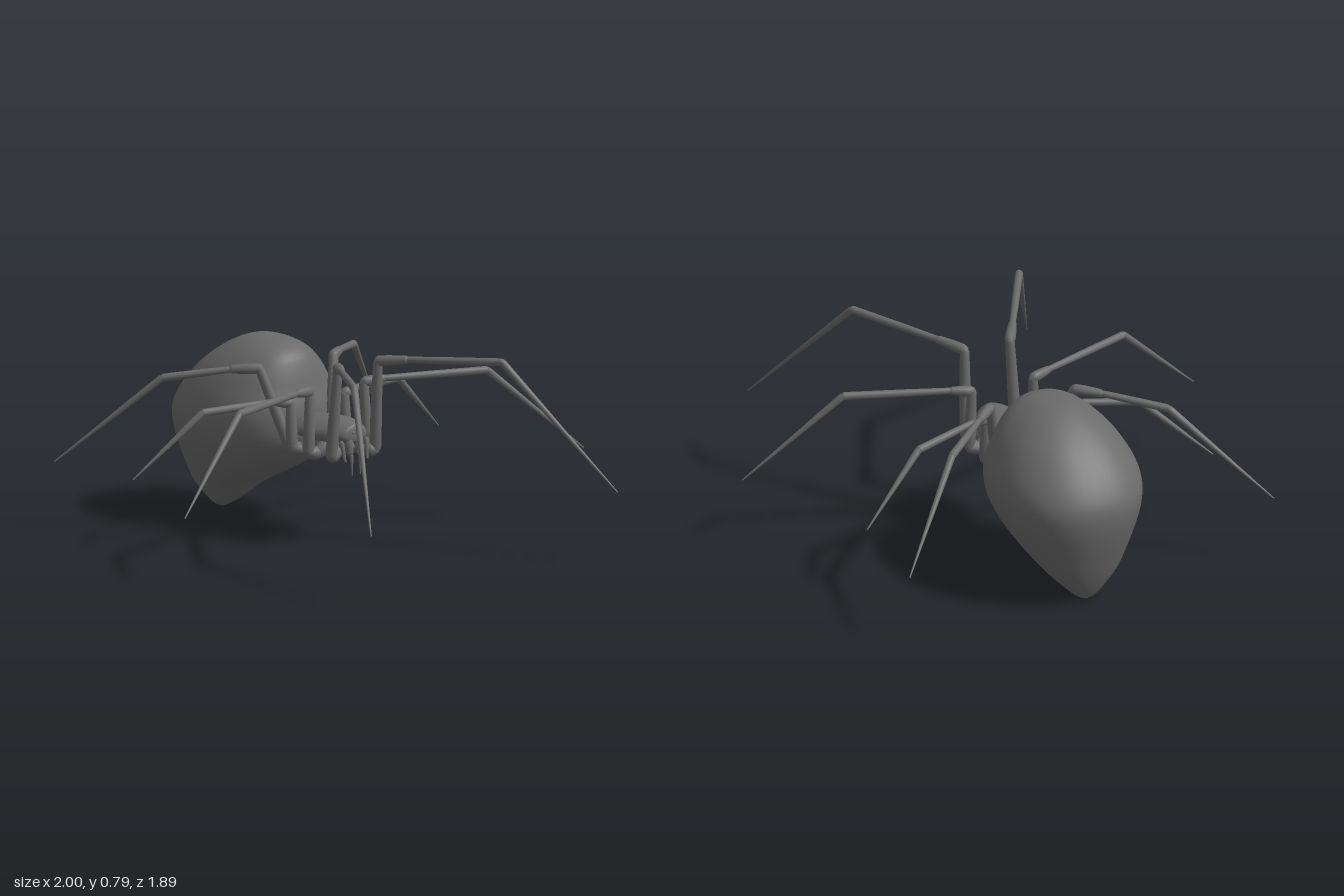
import * as THREE from 'three';

const V = (p) => new THREE.Vector3(...p);
const material = new THREE.MeshStandardMaterial({ color: 0x6a6a6a });

function add(parent, geometry, name) {
  const mesh = new THREE.Mesh(geometry, material);
  mesh.name = name;
  parent.add(mesh);
  return mesh;
}

// Smooth closed skin: rows of four numbers are splined, place(row, cos, sin) gives each point
function loft(rows, place, steps, sides) {
  const curve = new THREE.CatmullRomCurve3(rows.map((r) => V(r.slice(0, 3))), false, 'catmullrom');
  const last = new THREE.CatmullRomCurve3(rows.map((r) => V([r[3], 0, 0])), false, 'catmullrom');
  const pos = [], index = [];
  for (let i = 0; i <= steps; i++) {
    const p = curve.getPoint(i / steps);
    const row = [p.x, p.y, p.z, last.getPoint(i / steps).x];
    for (let j = 0; j < sides; j++) {
      const a = (j / sides) * Math.PI * 2;
      pos.push(...place(row, Math.cos(a), Math.sin(a)));
    }
  }
  const start = pos.length / 3, end = start + 1, top = steps * sides;
  for (const base of [0, top]) {
    const c = [0, 0, 0];
    for (let j = 0; j < sides; j++) for (let k = 0; k < 3; k++) c[k] += pos[(base + j) * 3 + k] / sides;
    pos.push(...c);
  }
  for (let j = 0; j < sides; j++) {
    const n = (j + 1) % sides;
    for (let i = 0; i < steps; i++) {
      const a = i * sides + j, b = i * sides + n;
      index.push(a, a + sides, b, b, a + sides, b + sides);
    }
    index.push(start, j, n, end, top + n, top + j);
  }
  const g = new THREE.BufferGeometry();
  g.setAttribute('position', new THREE.Float32BufferAttribute(pos, 3));
  g.setIndex(index);
  g.computeVertexNormals();
  return g;
}

// Tapered, slightly swollen limb piece with rounded ends
function segment(parent, name, from, to, r0, r1) {
  const a = V(from), d = V(to).sub(a), L = d.length();
  const profile = [[0, -r0 * 0.7], [r0 * 0.7, -r0 * 0.4], [r0, r0 * 0.3], [(r0 * 0.6 + r1 * 0.4) * 1.06, L * 0.4],
    [r1, L - r1 * 0.3], [r1 * 0.7, L + r1 * 0.4], [0, L + r1 * 0.7]];
  const mesh = add(parent, new THREE.LatheGeometry(profile.map((p) => new THREE.Vector2(...p)), 12), name);
  mesh.position.copy(a);
  mesh.quaternion.setFromUnitVectors(new THREE.Vector3(0, 1, 0), d.normalize());
}

function ball(parent, name, [x, y, z], [rx, ry, rz]) {
  const mesh = add(parent, new THREE.SphereGeometry(1, 20, 14), name);
  mesh.position.set(x, y, z);
  mesh.scale.set(rx, ry, rz);
}

// Joints of each left leg: hip, trochanter, femur base, femur top, patella end, tibia end, tip
const LEGS = {
  frontLeg: [[0.05, 0.4, -0.01], [0.08, 0.37, 0.02], [0.11, 0.37, 0.035], [0.1, 0.735, 0.065], [0.165, 0.75, 0.17], [0.37, 0.775, 0.52], [0.617, 0.29, 0.945]],
  secondLeg: [[0.05, 0.4, -0.06], [0.1, 0.365, -0.065], [0.145, 0.375, -0.065], [0.135, 0.62, -0.07], [0.215, 0.628, -0.045], [0.62, 0.63, 0.1], [0.998, 0.285, 0.235]],
  thirdLeg: [[0.05, 0.4, -0.14], [0.1, 0.365, -0.165], [0.135, 0.37, -0.185], [0.135, 0.55, -0.195], [0.2, 0.56, -0.215], [0.49, 0.54, -0.305], [0.765, 0.29, -0.4]],
  backLeg: [[0.05, 0.4, -0.19], [0.08, 0.37, -0.225], [0.11, 0.38, -0.245], [0.185, 0.672, -0.33], [0.27, 0.667, -0.405], [0.48, 0.63, -0.58], [0.805, 0.285, -0.855]],
};
const PARTS = [['coxa', 0.03, 0.028], ['trochanter', 0.027, 0.026], ['femur', 0.024, 0.019],
  ['patella', 0.022, 0.017], ['tibia', 0.013, 0.016], ['tarsus', 0.015, 0.003]];

export function createModel() {
  const model = new THREE.Group();
  model.name = 'spider';

  // Abdomen: height, front z, back z, half width
  const abdomenRows = [
    [0.003, -0.797, -0.815, 0.01], [0.02, -0.765, -0.832, 0.045], [0.07, -0.695, -0.86, 0.1],
    [0.13, -0.61, -0.885, 0.155], [0.2, -0.465, -0.908, 0.205], [0.27, -0.35, -0.928, 0.246],
    [0.35, -0.277, -0.944, 0.28], [0.43, -0.26, -0.942, 0.295], [0.5, -0.265, -0.909, 0.287],
    [0.57, -0.285, -0.855, 0.256], [0.64, -0.305, -0.785, 0.21], [0.7, -0.335, -0.7, 0.148],
    [0.738, -0.4, -0.62, 0.082], [0.75, -0.49, -0.56, 0.03]];
  const round = (v) => Math.sign(v) * Math.abs(v) ** 0.88;
  add(model, loft(abdomenRows, ([y, f, b, w], c, s) =>
    [w * round(c), y, (f + b) / 2 + ((f - b) / 2) * round(s)], 52, 48), 'abdomen');

  // Carapace: z from head to waist, centre height, half width, half height
  const carapaceRows = [
    [0.055, 0.452, 0.03, 0.02], [0.045, 0.452, 0.058, 0.038], [0.0, 0.452, 0.085, 0.048],
    [-0.06, 0.45, 0.106, 0.052], [-0.13, 0.447, 0.115, 0.05], [-0.2, 0.442, 0.106, 0.047],
    [-0.245, 0.438, 0.085, 0.038], [-0.262, 0.435, 0.05, 0.02]];
  add(model, loft(carapaceRows, ([z, y, w, h], c, s) => [w * c * (1 - 0.2 * s), y + h * s, z], 28, 28), 'carapace');
  ball(model, 'sternum', [0, 0.395, -0.1], [0.08, 0.04, 0.14]);
  ball(model, 'waist', [0, 0.43, -0.265], [0.045, 0.04, 0.04]);

  for (const side of [1, -1]) {
    const m = ([x, y, z]) => [x * side, y, z];
    const prefix = side > 0 ? 'left' : 'right';

    // Legs
    for (const [name, joints] of Object.entries(LEGS)) {
      const leg = new THREE.Group();
      leg.name = prefix + name[0].toUpperCase() + name.slice(1);
      PARTS.forEach(([part, r0, r1], i) => segment(leg, part, m(joints[i]), m(joints[i + 1]), r0, r1));
      model.add(leg);
    }

    // Jaws, fangs and feelers
    const mouth = new THREE.Group();
    mouth.name = prefix + 'Mouthparts';
    segment(mouth, 'jaw', m([0.025, 0.44, 0.03]), m([0.022, 0.37, 0.045]), 0.022, 0.014);
    segment(mouth, 'fang', m([0.022, 0.365, 0.052]), m([0.02, 0.285, 0.055]), 0.008, 0.002);
    segment(mouth, 'feelerBase', m([0.045, 0.39, 0.01]), m([0.062, 0.42, 0.04]), 0.012, 0.01);
    segment(mouth, 'feelerTip', m([0.062, 0.42, 0.04]), m([0.055, 0.345, 0.055]), 0.01, 0.005);
    model.add(mouth);

    // Two rows of small eyes
    [[0.014, 0.478, 0.043], [0.036, 0.474, 0.04], [0.015, 0.458, 0.052], [0.038, 0.456, 0.045]]
      .forEach((p) => ball(model, prefix + 'Eye', m(p), [0.007, 0.007, 0.007]));
  }
  return model;
}
